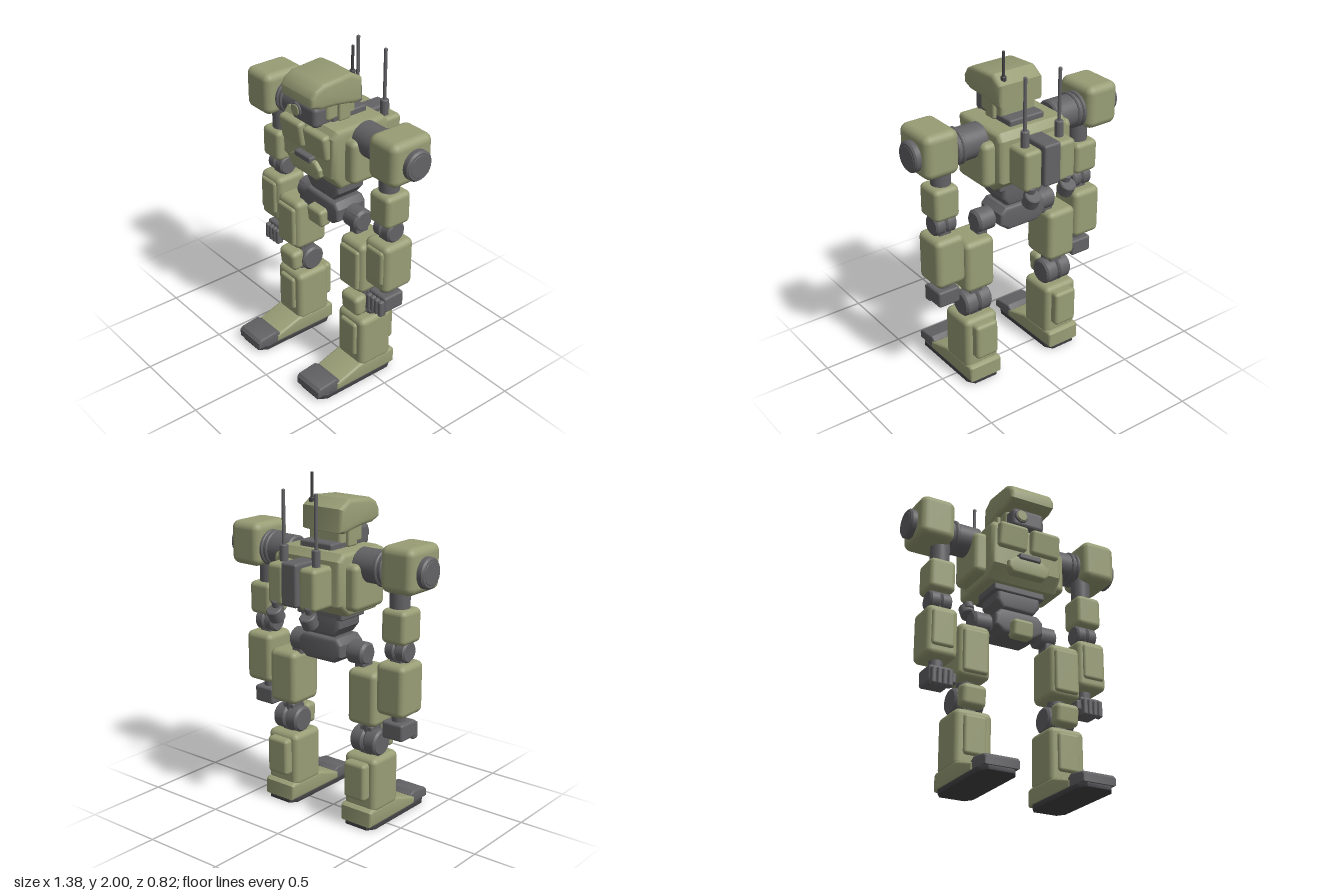
import * as THREE from 'three';
import { toCreasedNormals } from 'three/addons/utils/BufferGeometryUtils.js';
import { RoundedBoxGeometry } from 'three/addons/geometries/RoundedBoxGeometry.js';

const material = (name, color) => {
  const m = new THREE.MeshStandardMaterial({ color });
  m.name = name;
  return m;
};

export function createModel() {
  const green = material('olive armour', 0x989d75);
  const grey = material('dark grey metal', 0x636366);
  const black = material('charcoal', 0x434346);
  const model = new THREE.Group();
  model.name = 'walkingRobot';

  const group = (name) => {
    const g = new THREE.Group();
    g.name = name;
    model.add(g);
    return g;
  };
  const add = (parent, name, geometry, mat, [x, y, z] = [0, 0, 0], tilt = 0) => {
    const mesh = new THREE.Mesh(geometry, mat);
    mesh.name = name;
    mesh.position.set(x, y, z);
    mesh.rotation.x = tilt;
    parent.add(mesh);
    return mesh;
  };
  // Rounded box given by its lower and upper corners
  const box = (parent, name, mat, x, y, z, r = 0.02, tilt = 0) =>
    add(parent, name, new RoundedBoxGeometry(x[1] - x[0], y[1] - y[0], z[1] - z[0], 3, r), mat,
      [(x[0] + x[1]) / 2, (y[0] + y[1]) / 2, (z[0] + z[1]) / 2], tilt);
  // Bevelled extrusion of an outline, centred along its depth
  const slab = (points, depth, bevel) => {
    const shape = new THREE.Shape(points.map(([a, b]) => new THREE.Vector2(a, b)));
    const geo = new THREE.ExtrudeGeometry(shape, {
      depth: depth - 2 * bevel, bevelThickness: bevel, bevelSize: bevel, bevelOffset: -bevel, bevelSegments: 3,
    });
    geo.translate(0, 0, bevel - depth / 2);
    return toCreasedNormals(geo, 0.6);
  };
  // Side profile in (z, y), extruded across x
  const profile = (points, width, bevel) => slab(points, width, bevel).rotateY(-Math.PI / 2);
  // Cylinder with bevelled rims, along y or x
  const drum = (r, length, alongX = true, bevel = 0.01) => {
    const h = length / 2;
    const pts = [[0, -h], [r - bevel, -h], [r, -h + bevel], [r, h - bevel], [r - bevel, h], [0, h]];
    const geo = toCreasedNormals(new THREE.LatheGeometry(pts.map(([a, b]) => new THREE.Vector2(a, b)), 32), 0.5);
    return alongX ? geo.rotateZ(Math.PI / 2) : geo;
  };
  const span = (s, a, b) => (s > 0 ? [a, b] : [-b, -a]);

  // Torso
  const torso = group('torso');
  add(torso, 'chest', profile([[0.14, 1.6], [0.17, 1.56], [0.17, 1.32], [0.11, 1.24], [-0.14, 1.24],
    [-0.225, 1.31], [-0.225, 1.56], [-0.19, 1.6]], 0.46, 0.03), green);
  box(torso, 'chestVent', grey, [-0.07, 0.07], [1.365, 1.402], [0.14, 0.208], 0.01);
  add(torso, 'bellyPlate', slab([[-0.09, 1.382], [-0.135, 1.345], [-0.135, 1.305], [-0.105, 1.275],
    [0.105, 1.275], [0.135, 1.305], [0.135, 1.345], [0.09, 1.382]], 0.07, 0.015), green, [0, 0, 0.16]);
  for (const s of [-1, 1]) {
    box(torso, 'chestPlate', green, span(s, 0.012, 0.2), [1.425, 1.58], [0.15, 0.208], 0.022, 0.16);
    box(torso, 'sidePod', green, span(s, 0.2, 0.3), [1.28, 1.545], [-0.177, 0.09], 0.035);
  }
  box(torso, 'neckBase', grey, [-0.115, 0.115], [1.56, 1.635], [-0.158, 0.08], 0.012);

  // Backpack with thrusters and aerials
  const pack = group('backpack');
  box(pack, 'packCore', grey, [-0.055, 0.055], [1.31, 1.555], [-0.387, -0.18], 0.015);
  for (const s of [-1, 1]) {
    box(pack, 'packPod', green, span(s, 0.055, 0.17), [1.3, 1.535], [-0.37, -0.18], 0.025);
    add(pack, 'thruster', drum(0.046, 0.076, false, 0.006), grey, [s * 0.12, 1.247, -0.355], -0.5);
    add(pack, 'thrusterMount', drum(0.03, 0.08, false, 0.005), grey, [s * 0.12, 1.29, -0.34], -0.3);
    add(pack, 'aerialBase', drum(0.024, 0.1, false, 0.005), grey, [s * 0.115, 1.578, -0.287]);
    add(pack, 'aerial', drum(0.01, 0.34, false, 0.003), grey, [s * 0.115, 1.76, -0.287]);
  }

  // Head
  const head = group('head');
  add(head, 'helmet', profile([[0.24, 1.735], [0.24, 1.785], [0.215, 1.825], [0.165, 1.853], [-0.03, 1.867],
    [-0.105, 1.82], [-0.108, 1.69], [-0.07, 1.678], [0.08, 1.705], [0.18, 1.71]], 0.29, 0.025), green);
  box(head, 'skull', green, [-0.115, 0.115], [1.61, 1.72], [-0.08, 0.12], 0.02);
  box(head, 'face', grey, [-0.108, 0.102], [1.58, 1.705], [0, 0.195], 0.028);
  add(head, 'eyeRing', drum(0.042, 0.02, false, 0.004), grey, [-0.055, 1.648, 0.195], Math.PI / 2);
  add(head, 'eye', drum(0.034, 0.02, false, 0.005), green, [-0.055, 1.648, 0.2], Math.PI / 2);
  for (const s of [-1, 1]) box(head, 'ear', green, span(s, 0.1, 0.135), [1.6, 1.71], [-0.03, 0.05], 0.012);
  add(head, 'headAerialBase', drum(0.017, 0.03, false, 0.004), black, [0.095, 1.845, -0.07]);
  add(head, 'headAerial', drum(0.008, 0.18, false, 0.002), black, [0.095, 1.91, -0.07]);

  // Waist and pelvis
  const pelvis = group('pelvis');
  box(pelvis, 'waistCollar', grey, [-0.165, 0.165], [1.2, 1.26], [-0.13, 0.08], 0.012);
  add(pelvis, 'waist', slab([[-0.14, 1.23], [-0.14, 1.15], [-0.1, 1.1], [0.1, 1.1], [0.14, 1.15], [0.14, 1.23]],
    0.2, 0.02), grey, [0, 0, -0.03]);
  box(pelvis, 'waistPivot', grey, [-0.1, 0.1], [1.06, 1.13], [-0.1, 0.05], 0.012);
  add(pelvis, 'hipBlock', slab([[-0.12, 1.09], [-0.155, 1.055], [-0.155, 0.985], [-0.1, 0.945], [0.1, 0.945],
    [0.155, 0.985], [0.155, 1.055], [0.12, 1.09]], 0.21, 0.02), grey, [0, 0, -0.025]);
  box(pelvis, 'groinGuard', green, [-0.065, 0.065], [0.915, 1.025], [0.05, 0.13], 0.022, 0.12);

  for (const s of [-1, 1]) {
    const side = s > 0 ? 'left' : 'right';

    // Arm
    const arm = group(side + 'Arm');
    add(arm, 'shoulderAxle', drum(0.095, 0.24), grey, [s * 0.35, 1.525, -0.04]);
    for (const x of [0.392, 0.425]) add(arm, 'shoulderRing', drum(0.105, 0.024, true, 0.006), grey, [s * x, 1.525, -0.04]);
    box(arm, 'shoulderPad', green, span(s, 0.435, 0.65), [1.42, 1.677], [-0.16, 0.118], 0.045);
    add(arm, 'shoulderCap', drum(0.087, 0.08), grey, [s * 0.648, 1.537, -0.03]);
    add(arm, 'shoulderCapDisc', drum(0.064, 0.01, true, 0.002), grey, [s * 0.685, 1.537, -0.03]);
    add(arm, 'upperArmRod', drum(0.057, 0.18, false), grey, [s * 0.475, 1.37, -0.013]);
    box(arm, 'upperArm', green, span(s, 0.405, 0.565), [1.12, 1.315], [-0.098, 0.072], 0.03);
    box(arm, 'elbowLink', grey, span(s, 0.44, 0.52), [0.98, 1.15], [-0.055, 0.025], 0.01);
    for (const x of [0.446, 0.514]) add(arm, 'elbowDisc', drum(0.062, 0.066), grey, [s * x, 1.072, -0.013]);
    box(arm, 'forearm', green, span(s, 0.39, 0.578), [0.71, 1.013], [-0.12, 0.085], 0.035);
    box(arm, 'forearmPanel', green, span(s, 0.418, 0.555), [0.765, 0.982], [0.06, 0.1], 0.018);
    add(arm, 'wrist', drum(0.04, 0.09, false), grey, [s * 0.48, 0.685, -0.013]);
    // Hand
    box(arm, 'palm', grey, span(s, 0.41, 0.55), [0.562, 0.663], [-0.08, 0.06], 0.015);
    for (let i = 0; i < 4; i++) {
      const x = 0.415 + i * 0.033;
      box(arm, 'finger', grey, span(s, x, x + 0.03), [0.543, 0.645], [0.04, 0.088], 0.012);
    }
    box(arm, 'thumb', grey, span(s, 0.383, 0.42), [0.575, 0.638], [0, 0.06], 0.012);

    // Upper leg
    const leg = group(side + 'Leg');
    add(leg, 'hipJoint', drum(0.067, 0.12, true, 0.014), grey, [s * 0.21, 1.007, -0.02]);
    add(leg, 'hipAxle', drum(0.045, 0.06), grey, [s * 0.15, 1.007, -0.02]);
    box(leg, 'hipLink', grey, span(s, 0.2, 0.265), [0.9, 1.06], [-0.06, 0.03], 0.01);
    box(leg, 'thigh', green, span(s, 0.195, 0.39), [0.615, 0.938], [-0.125, 0.1], 0.035);
    box(leg, 'thighPanel', green, span(s, 0.215, 0.37), [0.64, 0.9], [0.07, 0.118], 0.018);
    add(leg, 'thighRod', drum(0.052, 0.1, false), grey, [s * 0.292, 0.6, -0.02]);

    // Knee and shin
    for (const x of [0.247, 0.338]) add(leg, 'kneeDisc', drum(0.078, 0.088, true, 0.012), grey, [s * x, 0.505, -0.03]);
    box(leg, 'kneeLink', grey, span(s, 0.25, 0.335), [0.4, 0.6], [-0.07, 0.03], 0.01);
    box(leg, 'kneeGuard', green, span(s, 0.222, 0.37), [0.45, 0.58], [0.02, 0.113], 0.03, 0.1);
    box(leg, 'shin', green, span(s, 0.18, 0.405), [0.1, 0.432], [-0.13, 0.1], 0.035);
    box(leg, 'shinPanel', green, span(s, 0.225, 0.36), [0.17, 0.395], [0.07, 0.12], 0.018);
    box(leg, 'calfPack', green, span(s, 0.215, 0.365), [0.18, 0.405], [-0.18, -0.1], 0.022);

    // Foot
    add(leg, 'foot', profile([[0.275, 0.025], [0.275, 0.07], [0.1, 0.128], [-0.14, 0.128], [-0.16, 0.115],
      [-0.16, 0.025]], 0.22, 0.015), green, [s * 0.292, 0, 0]);
    add(leg, 'toe', profile([[0.412, 0.025], [0.412, 0.068], [0.395, 0.085], [0.28, 0.1], [0.25, 0.08],
      [0.25, 0.025]], 0.205, 0.01), grey, [s * 0.29, 0, 0]);
    const sole = slab([[-0.075, -0.155], [0.075, -0.155], [0.107, -0.11], [0.107, 0.35], [0.075, 0.4],
      [-0.075, 0.4], [-0.107, 0.35], [-0.107, -0.11]], 0.03, 0.003).rotateX(Math.PI / 2);
    add(leg, 'sole', sole, black, [s * 0.292, 0.015, 0]);
  }
  return model;
}
